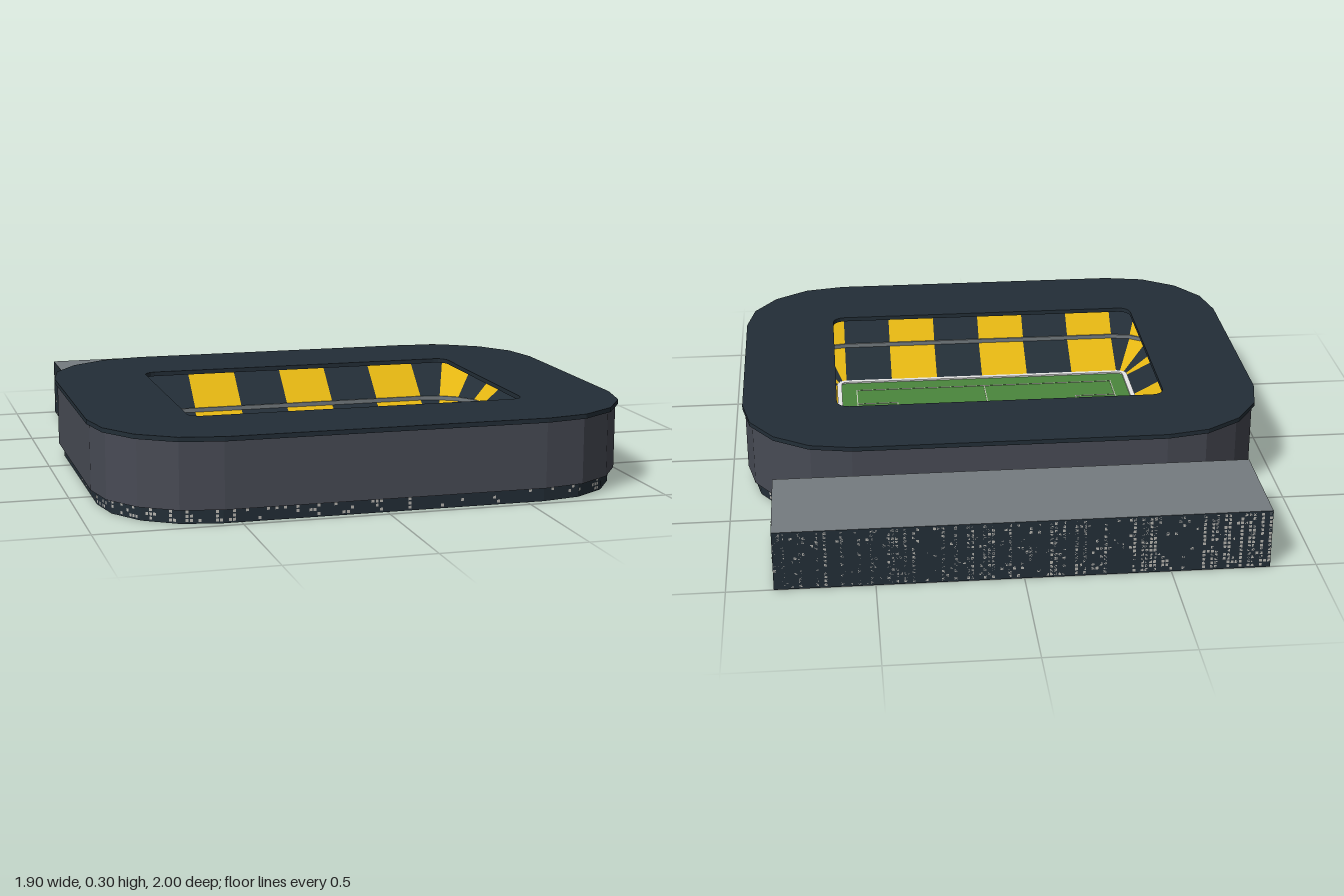
import * as THREE from 'three';

const mat = (name, color, flatShading = true) =>
  new THREE.MeshStandardMaterial({ name, color, side: THREE.DoubleSide, flatShading });

// Stadium core rectangle; every ring is an offset of it with faceted corners
const CX = 0.56, CZ = 0.385, MID = 0.225;

function makeStations() {
  const list = [];
  const corners = [[-CX, -CZ], [CX, -CZ], [CX, CZ], [-CX, CZ]];
  const counts = [6, 4, 6, 4];
  corners.forEach((from, side) => {
    const to = corners[(side + 1) % 4];
    const start = -Math.PI / 2 + side * Math.PI / 2;
    for (let i = 0; i < counts[side]; i++) {
      const t = i / counts[side];
      list.push({ x: from[0] + (to[0] - from[0]) * t, z: from[1] + (to[1] - from[1]) * t, a: start });
    }
    for (let i = 0; i < 4; i++) list.push({ x: to[0], z: to[1], a: start + i * Math.PI / 8 });
  });
  return list;
}
const stations = makeStations();

function at(i, [r, y]) {
  const s = stations[i % stations.length];
  // the first station of a side shares its core point with the end of the corner before it
  return [s.x + Math.cos(s.a) * r, y, MID + s.z + Math.sin(s.a) * r];
}

function quads(list) {
  const pos = [];
  for (const [a, b, c, d] of list) pos.push(...a, ...b, ...c, ...a, ...c, ...d);
  const g = new THREE.BufferGeometry();
  g.setAttribute('position', new THREE.Float32BufferAttribute(pos, 3));
  g.computeVertexNormals();
  return g;
}

// Sweep an (offset, height) profile around the stadium; keep chooses segments
function ring(profile, closed, keep = () => true) {
  const list = [];
  const n = closed ? profile.length : profile.length - 1;
  for (let i = 0; i < stations.length; i++) {
    if (!keep(i)) continue;
    for (let k = 0; k < n; k++) {
      const p = profile[k], q = profile[(k + 1) % profile.length];
      list.push([at(i, p), at(i, q), at(i + 1, q), at(i + 1, p)]);
    }
  }
  return quads(list);
}

const section = (r0, r1, y0, y1) => [[r1, y0], [r1, y1], [r0, y1], [r0, y0]];

let seed = 7;
const rnd = () => (seed = (seed * 16807) % 2147483647) / 2147483647;

// Small window panes on a wall running from a to b
function panes(list, a, b, y0, y1, dense) {
  const len = Math.hypot(b[0] - a[0], b[1] - a[1]);
  const cols = Math.floor(len / 0.014), rows = Math.floor((y1 - y0) / 0.014);
  const p = (u, y) => [a[0] + (b[0] - a[0]) * u, y, a[1] + (b[1] - a[1]) * u];
  for (let c = 0; c < cols; c++) {
    const chance = rnd() < dense ? 0.9 : 0.12;
    const u0 = (c + 0.15) / cols, u1 = (c + 0.85) / cols;
    for (let r = 0; r < rows; r++) {
      if (rnd() > chance) continue;
      const lo = y0 + (r + 0.15) * (y1 - y0) / rows, hi = lo + 0.01;
      list.push([p(u0, lo), p(u0, hi), p(u1, hi), p(u1, lo)]);
    }
  }
}

export function createModel() {
  const model = new THREE.Group();
  model.name = 'stadium';
  const navy = mat('navy', 0x232e37);
  const slate = mat('slate', 0x484b55);
  const yellow = mat('yellow', 0xe3b512);
  const green = mat('grass green', 0x4b873d);
  const white = mat('white', 0xf2f2f2);
  const chalk = mat('chalk', 0xc4cbb8);
  const grey = mat('concrete grey', 0x757c80);
  const pane = mat('pale pane', 0xb8b6b0);

  const add = (name, geometry, material, x = 0, y = 0, z = 0, parent = model) => {
    const m = new THREE.Mesh(geometry, material);
    m.name = name;
    m.position.set(x, y, z);
    parent.add(m);
    return m;
  };

  // Shell: base, facade and roof
  add('base', ring(section(0.345, 0.36, 0, 0.05), true), navy);
  add('baseLining', ring([[0.344, 0], [0.344, 0.05]], false), slate);
  add('facade', ring(section(0.355, 0.38, 0.05, 0.28), true), slate);
  add('roof', ring(section(0.045, 0.39, 0.28, 0.296), true), navy);

  // Two tiers of seating in alternating colour blocks
  const tiers = {
    lowerTier: [[0.2, 0.1], [0.037, 0.014]],
    upperTier: [[0.355, 0.25], [0.2, 0.115]],
  };
  for (const [name, profile] of Object.entries(tiers)) {
    add(name + 'DarkBlocks', ring(profile, false, i => i % 2 === 0), navy);
    add(name + 'YellowBlocks', ring(profile, false, i => i % 2 === 1), yellow);
  }
  add('tierFascia', ring(section(0.195, 0.203, 0.1, 0.116), true), grey);

  // Pitch with surround
  add('pitch', new THREE.BoxGeometry(1.16, 0.012, 0.81), green, 0, 0.008, MID);
  add('pitchSurround', ring(section(0.02, 0.039, 0.004, 0.02), true), white);

  // Pitch markings
  const marks = new THREE.Group();
  marks.name = 'pitchMarkings';
  model.add(marks);
  const W = 0.004, top = 0.0155, mz = 0.2225;
  const line = (x0, z0, x1, z1) => add('line',
    new THREE.BoxGeometry(Math.abs(x1 - x0) + W, 0.002, Math.abs(z1 - z0) + W),
    chalk, (x0 + x1) / 2, top, mz + (z0 + z1) / 2, marks);
  for (const s of [-1, 1]) {
    line(-0.52, s * 0.333, 0.52, s * 0.333);
    line(s * 0.52, -0.333, s * 0.52, 0.333);
    for (const [x, h] of [[0.36, 0.2], [0.46, 0.09]]) {
      line(s * x, -h, s * x, h);
      line(s * x, -h, s * 0.52, -h);
      line(s * x, h, s * 0.52, h);
    }
  }
  line(0, -0.333, 0, 0.333);
  const circle = new THREE.RingGeometry(0.087, 0.091, 40).rotateX(-Math.PI / 2);
  add('centreCircle', circle, chalk, 0, top + 0.001, mz, marks);

  // Long block behind the stadium
  add('backBuilding', new THREE.BoxGeometry(1.68, 0.215, 0.39),
    [navy, navy, grey, grey, navy, navy], 0, 0.1075, -0.805);

  // Window panes of the block and of the stadium base
  const blockPanes = [], basePanes = [];
  const c = [[-0.841, -1], [0.841, -1], [0.841, -0.609], [-0.841, -0.609]];
  c.forEach((a, i) => panes(blockPanes, a, c[(i + 1) % 4], 0.004, 0.211, 0.38));
  add('buildingWindows', quads(blockPanes), pane);
  for (let i = 0; i < stations.length; i++) {
    const a = at(i, [0.361, 0]), b = at(i + 1, [0.361, 0]);
    panes(basePanes, [a[0], a[2]], [b[0], b[2]], 0.004, 0.048, 0.12);
  }
  add('baseWindows', quads(basePanes), pane);

  return model;
}
